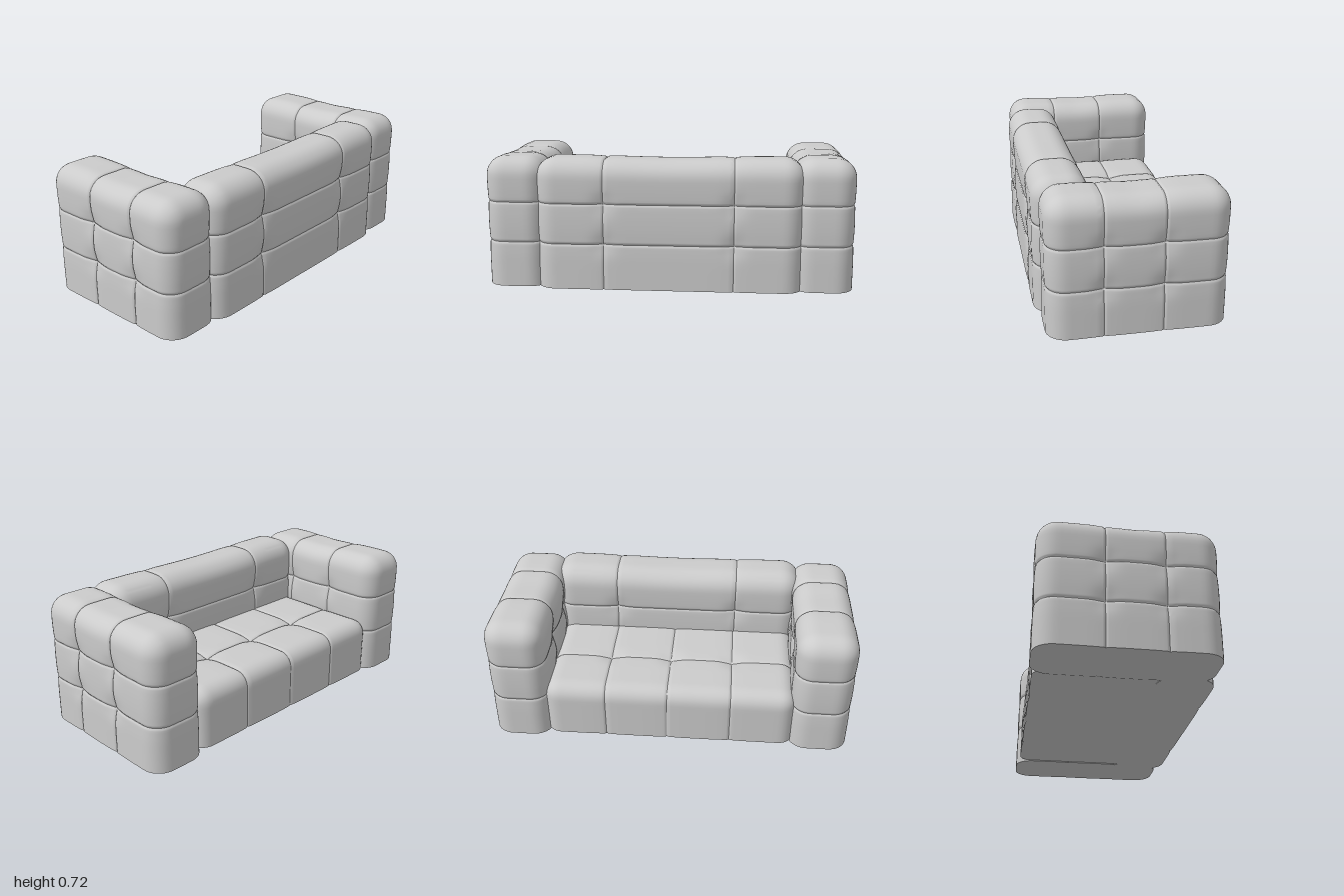
import * as THREE from 'three';
import { mergeVertices, toCreasedNormals } from 'three/addons/utils/BufferGeometryUtils.js';

const bell = (u, w) => Math.exp(-((u / w) ** 2));
const AXES = ['x', 'y', 'z'];

// sample positions along one axis, with extra rows hugging each seam
function samples(lo, hi, seams, step = 0.024) {
  const list = [];
  const n = Math.ceil((hi - lo) / step);
  for (let i = 0; i <= n; i++) {
    const v = lo + ((hi - lo) * i) / n;
    if (i === 0 || i === n || seams.every((s) => Math.abs(v - s) > 0.02)) list.push(v);
  }
  for (const s of seams) for (const d of [-0.015, -0.008, -0.004, 0, 0.004, 0.008, 0.015]) list.push(s + d);
  return list.sort((a, b) => a - b);
}

// upholstered block: rounded top and upright corners, flat base, stitched seams with tufted crossings
function cushion(name, { min, max, r, seams, sagAxis = null }, material) {
  const rows = AXES.map((_, k) => samples(min[k], max[k], seams[k]));
  const count = rows.map((row) => row.length - 1);
  let geo = new THREE.BoxGeometry(1, 1, 1, ...count);
  const pos = geo.attributes.position;
  const p = new THREE.Vector3(), core = new THREE.Vector3(), q = new THREE.Vector3();
  const coreMin = new THREE.Vector3(min[0] + r, min[1], min[2] + r);
  const coreMax = new THREE.Vector3(max[0] - r, max[1] - r, max[2] - r);

  for (let i = 0; i < pos.count; i++) {
    p.fromBufferAttribute(pos, i);
    const base = p.y < -0.4999;
    AXES.forEach((a, k) => { p[a] = rows[k][Math.round((p[a] + 0.5) * count[k])]; });

    // round the block off around its core
    core.copy(p).clamp(coreMin, coreMax);
    q.subVectors(p, core);
    const reach = Math.max(Math.abs(q.x), Math.abs(q.y), Math.abs(q.z));
    if (reach > 0) q.normalize();
    const n = [Math.abs(q.x), Math.abs(q.y), Math.abs(q.z)];
    const out = core.clone().addScaledVector(q, reach);

    // stitched grooves, and deeper dents where two seams cross
    let depth = 0;
    const near = [0, 0, 0];
    if (reach > r * 0.99) {
      AXES.forEach((a, k) => {
        const weight = 1 - n[k] ** 2;
        for (const s of seams[k]) {
          const u = p[a] - s;
          depth += weight * (0.006 * bell(u, 0.006) + 0.003 * bell(u, 0.05));
          near[k] = Math.max(near[k], weight * bell(u, 0.055));
        }
      });
      depth += 0.012 * (near[0] * near[1] + near[1] * near[2] + near[0] * near[2]);
      out.addScaledVector(q, -depth);
    }

    // gentle dip in the middle of the top
    if (sagAxis) {
      const up = Math.max(0, (p.y - 0.5) / (max[1] - 0.5));
      out.y -= 0.01 * up * bell(p[sagAxis], sagAxis === 'x' ? 0.13 : 0.35);
    }
    // soft lift around the rim of the base
    if (base) out.y += 0.012 * (reach / r) ** 2;
    pos.setXYZ(i, out.x, out.y, out.z);
  }
  geo.deleteAttribute('uv');
  geo.deleteAttribute('normal');
  geo = toCreasedNormals(mergeVertices(geo, 1e-5), 0.9);
  const mesh = new THREE.Mesh(geo, material);
  mesh.name = name;
  return mesh;
}

export function createModel() {
  const sofa = new THREE.Group();
  sofa.name = 'sofa';
  const fabric = new THREE.MeshStandardMaterial({ color: 0xcccccc });
  const tiers = [0.26, 0.48];

  // matching armrests at both ends
  for (const [name, z0, z1] of [['leftEndArmrest', 0.67, 1], ['rightEndArmrest', -1, -0.67]]) {
    sofa.add(cushion(name, {
      min: [-0.47, 0, z0], max: [0.44, 0.724, z1], r: 0.105,
      seams: [[-0.135, 0.163], tiers, []], sagAxis: 'x',
    }, fabric));
  }

  // backrest along the +x side
  sofa.add(cushion('backrest', {
    min: [0.168, 0, -0.73], max: [0.468, 0.724, 0.72], r: 0.11,
    seams: [[], tiers, [-0.355, 0.345]], sagAxis: 'z',
  }, fabric));

  // tufted seat between the armrests
  sofa.add(cushion('seat', {
    min: [-0.452, 0.012, -0.7], max: [0.3, 0.345, 0.7], r: 0.085,
    seams: [[-0.13], [], [-0.355, -0.01, 0.34]],
  }, fabric));

  return sofa;
}
